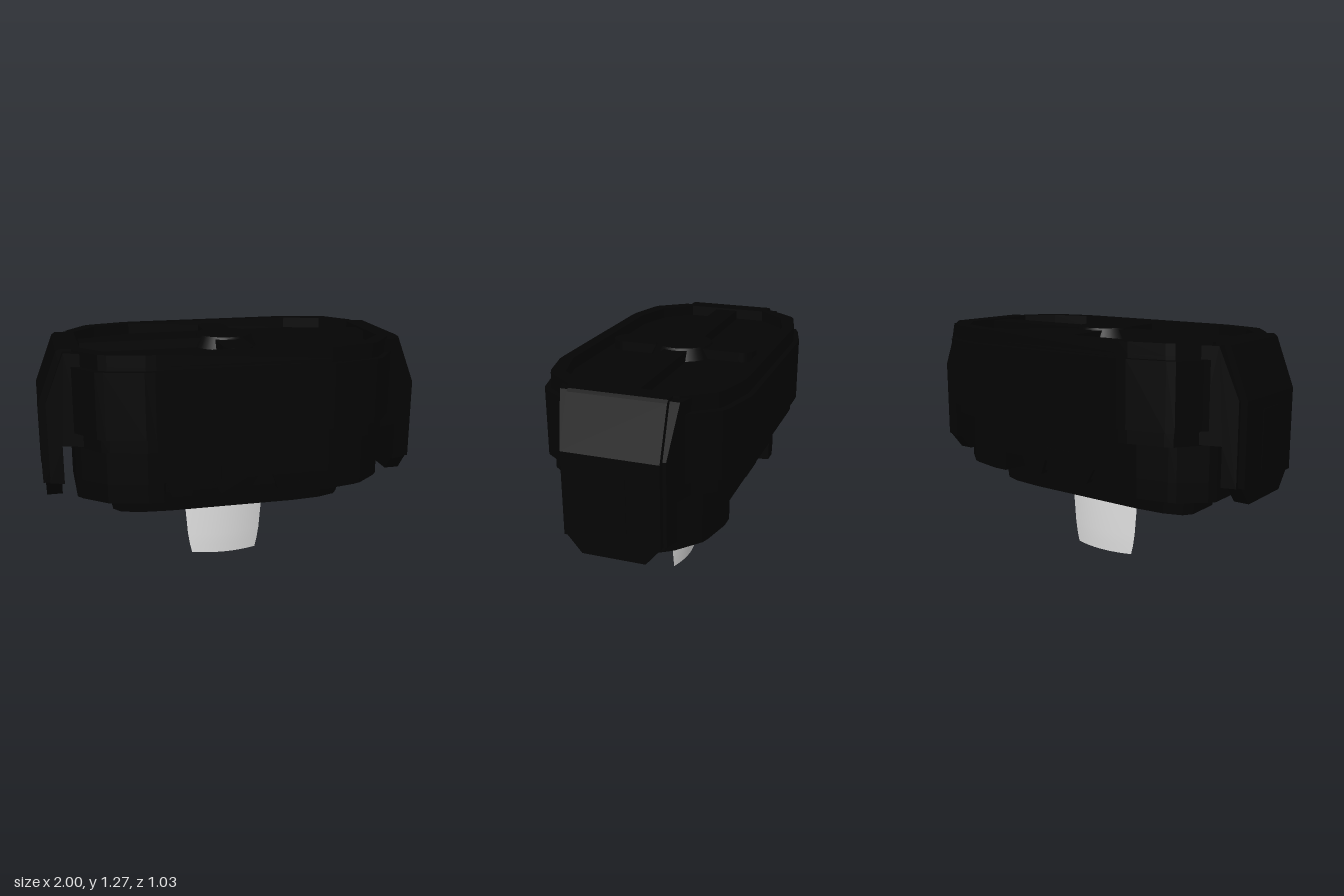
import * as THREE from 'three';
import { toCreasedNormals } from 'three/addons/utils/BufferGeometryUtils.js';

const black = new THREE.MeshStandardMaterial({ color: 0x040404 });
black.name = 'black plastic';
const silver = new THREE.MeshStandardMaterial({ color: 0xe2e2e2 });
silver.name = 'light metal';

// Mirrors one quarter of a plan outline into a closed loop
function outline(quarter) {
  const back = [...quarter].reverse();
  return [
    ...quarter,
    ...back.map(([x, z]) => [-x, z]),
    ...quarter.map(([x, z]) => [-x, -z]),
    ...back.map(([x, z]) => [x, -z]),
  ].map(([x, z]) => new THREE.Vector2(x, z));
}

export function createModel() {
  const group = new THREE.Group();

  function add(name, geometry, material = black) {
    const mesh = new THREE.Mesh(geometry, material);
    mesh.name = name;
    group.add(mesh);
    return mesh;
  }

  // Horizontal plate from a plan outline; the bottom may be narrower
  function slab(name, quarter, y0, y1, { hole, bottom = 1 } = {}) {
    const shape = new THREE.Shape(outline(quarter));
    if (hole) shape.holes.push(new THREE.Path(outline(hole)));
    const g = new THREE.ExtrudeGeometry(shape, { depth: y1 - y0, bevelEnabled: false });
    g.rotateX(-Math.PI / 2).translate(0, y0, 0);
    const p = g.attributes.position;
    for (let i = 0; i < p.count; i++) {
      const k = p.getY(i) < y0 + 1e-4 ? bottom : 1;
      p.setX(i, p.getX(i) * k);
      p.setZ(i, p.getZ(i) * k);
    }
    g.computeVertexNormals();
    return add(name, g);
  }

  // Upright profile in x and y, extruded evenly to both sides of z
  function upright(points, halfDepth) {
    const shape = new THREE.Shape(points.map(([x, y]) => new THREE.Vector2(x, y)));
    return new THREE.ExtrudeGeometry(shape, { depth: halfDepth * 2, bevelEnabled: false })
      .translate(0, 0, -halfDepth);
  }

  // Cap: wide belt between two slightly inset layers
  const belt = [[0.83, 0.30], [0.81, 0.325], [0.73, 0.44], [0.69, 0.46], [0.5, 0.51], [0.45, 0.513]];
  const inset = [[0.82, 0.27], [0.79, 0.31], [0.71, 0.415], [0.67, 0.435], [0.49, 0.48], [0.44, 0.483]];
  const tray = [[0.78, 0.22], [0.66, 0.36], [0.46, 0.42]];
  slab('capLowerLip', inset, 0.775, 0.85);
  slab('capBelt', belt, 0.85, 1.185);
  slab('capTop', inset, 1.185, 1.205);
  slab('capRim', inset, 1.205, 1.262, { hole: tray });

  // Ridges and boss inside the top tray
  for (const s of [1, -1]) {
    add('longRidge', new THREE.BoxGeometry(0.66, 0.05, 0.125)).position.set(s * 0.44, 1.23, 0);
    add('shortRidge', new THREE.BoxGeometry(0.15, 0.05, 0.32)).position.set(0, 1.23, s * 0.16);
    add('shortRidgeEnd', new THREE.CylinderGeometry(0.075, 0.075, 0.05, 24)).position.set(0, 1.23, s * 0.318);
  }
  add('centreBoss', new THREE.CylinderGeometry(0.145, 0.175, 0.065, 32)).position.y = 1.234;

  // End arms hanging down on both sides, with flared shoulders
  const armProfile = [
    [0.78, 0.78], [0.885, 0.78], [0.89, 0.77], [0.89, 0.58], [0.995, 0.58],
    [0.995, 1.0], [0.897, 1.25], [0.88, 1.262], [0.78, 1.262],
  ];
  const shoulderProfile = [
    [0.78, 0.78], [0.89, 0.78], [0.89, 0.58], [0.96, 0.58], [0.96, 1.0], [0.865, 1.25], [0.78, 1.25],
  ];
  const footProfile = [[-0.16, 0.485], [0.16, 0.485], [0.24, 0.58], [-0.24, 0.58]];
  for (const s of [1, -1]) {
    const turn = s > 0 ? 0 : Math.PI;
    add('endArm', upright(armProfile, 0.24)).rotation.y = turn;

    const shoulder = upright(shoulderProfile, 1);
    const p = shoulder.attributes.position;
    for (let i = 0; i < p.count; i++) {
      p.setZ(i, p.getZ(i) * (0.3 - (p.getX(i) - 0.83) * 0.33));
    }
    shoulder.computeVertexNormals();
    add('armShoulder', shoulder).rotation.y = turn;

    add('armPanel', new THREE.BoxGeometry(0.008, 0.3, 0.15)).position.set(s * 0.994, 0.79, 0);

    const foot = add('armFoot', upright(footProfile, 0.04));
    foot.position.x = s * 0.94;
    foot.rotation.y = Math.PI / 2;
  }

  // Middle housing, with a notch in the lower front and back walls
  const body = [[0.825, 0.2], [0.8, 0.235], [0.68, 0.335], [0.64, 0.35], [0.48, 0.385]];
  slab('housing', body, 0.58, 0.79);
  slab('housingSkirt', [...body, [0.4, 0.385], [0.37, 0.25]], 0.477, 0.58);

  // Tapered clips in the notches and at the ends
  for (const s of [1, -1]) {
    const turn = s > 0 ? 0 : Math.PI;
    for (const x of [-0.29, 0, 0.29]) {
      const clip = add('clip', upright([[-0.08, 0.455], [0.08, 0.455], [0.15, 0.585], [-0.15, 0.585]], 0.025));
      clip.position.set(x, 0, s * 0.25);
      clip.scale.x = x ? 0.65 : 1;
    }
    add('clipTab', new THREE.BoxGeometry(0.2, 0.07, 0.008)).position.set(0, 0.615, s * 0.384);
    for (const t of [1, -1]) {
      const endClip = add('endClip', upright([[0.6, 0.455], [0.66, 0.455], [0.69, 0.465], [0.7, 0.48], [0.6, 0.48]], 0.045));
      endClip.position.z = t * 0.155;
      endClip.rotation.y = turn;
    }
  }

  // Base plate under the housing
  slab('base', [[0.655, 0.1], [0.62, 0.15], [0.52, 0.185], [0.35, 0.2]], 0.35, 0.48, { bottom: 0.97 });

  // Flat, lens-shaped blade, thinner toward its tip
  const profile = [[0, 0], [0.185, 0], [0.197, 0.05], [0.208, 0.12], [0.228, 0.36]];
  const blade = new THREE.LatheGeometry(profile.map(([r, y]) => new THREE.Vector2(r, y)), 48);
  const p = blade.attributes.position;
  for (let i = 0; i < p.count; i++) {
    const x = p.getX(i), z = p.getZ(i);
    const r = Math.hypot(x, z) || 1;
    const ratio = 0.185 + 0.06 * Math.min(1, p.getY(i) / 0.2);
    p.setZ(i, (z * Math.abs(z) / r) * ratio);
  }
  blade.computeVertexNormals();
  add('blade', toCreasedNormals(blade, 0.5), silver).position.z = -0.006;

  return group;
}
